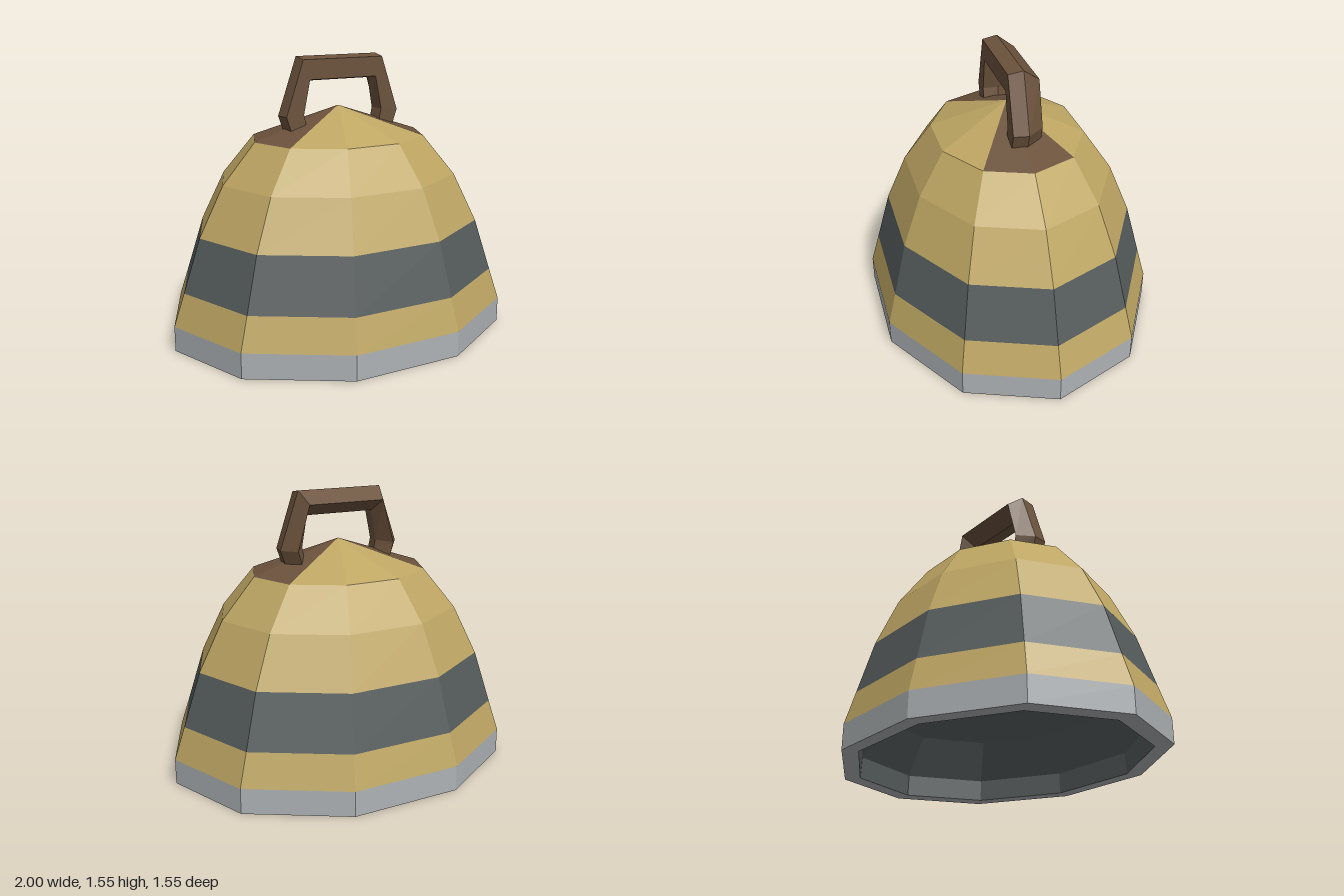
import * as THREE from 'three';

const SIDES = 10, DEPTH = 0.817;

function material(name, color, side = THREE.FrontSide) {
  return new THREE.MeshStandardMaterial({ name, color, side, flatShading: true });
}

export function createModel() {
  const brass = material('brass', 0xbea663);
  const steel = material('steel', 0xaeb2b5);
  const slate = material('slate', 0x565c5c, THREE.DoubleSide);
  const brown = material('brown', 0x6b523c);

  const model = new THREE.Group();
  model.name = 'bell';

  const add = (name, geometry, mat, parent = model) => {
    const mesh = new THREE.Mesh(geometry, mat);
    mesh.name = name;
    parent.add(mesh);
  };

  // One faceted oval ring between two [radius, y] profile points
  const ring = ([r0, y0], [r1, y1], sides = SIDES, start = Math.PI / 2) => {
    const sweep = (sides / SIDES) * Math.PI * 2;
    return new THREE.CylinderGeometry(r1, r0, y1 - y0, sides, 1, true, start, sweep)
      .translate(0, (y0 + y1) / 2, 0)
      .scale(1, 1, DEPTH);
  };

  // Outer shell, from the rim to the shoulder
  const outer = [[1, 0], [1, 0.14], [0.938, 0.32], [0.839, 0.614], [0.7, 0.885], [0.51, 1.105], [0, 1.275]];
  const bands = [['rim', steel], ['lowerBody', brass], ['darkBand', slate], ['upperBody', brass], ['shoulder', brass]];
  bands.forEach(([name, mat], i) => add(name, ring(outer[i], outer[i + 1]), mat));

  // Crown: brass at front and back, brown patches under the handle legs
  const step = (Math.PI * 2) / SIDES;
  for (const turn of [0, Math.PI]) {
    const side = turn ? 'right' : 'left';
    const end = turn ? 'back' : 'front';
    add(side + 'CrownPatch', ring(outer[5], outer[6], 2, Math.PI / 2 - step + turn), brown);
    add(end + 'Crown', ring(outer[5], outer[6], 3, -1.5 * step + turn), brass);
  }

  // Bottom lip and the much shallower domed hollow inside
  add('lip', new THREE.RingGeometry(0.895, 1, SIDES).rotateX(Math.PI / 2).scale(1, 1, DEPTH), steel);
  const inner = [[0.895, 0], [0.89, 0.12], [0.748, 0.33], [0.623, 0.46], [0.454, 0.56], [0, 0.64]];
  const inside = new THREE.Group();
  inside.name = 'inside';
  model.add(inside);
  for (let i = 0; i < inner.length - 1; i++) add('innerRing' + (i + 1), ring(inner[i], inner[i + 1]), slate, inside);

  add('handle', handleGeometry(), brown);
  return model;
}

// Five-sided bar swept along an arch; each station is [midX, midY, halfX, halfY]
function handleGeometry() {
  const half = [[0.225, 1.486, 0.025, 0.068], [0.295, 1.241, 0.065, -0.005], [0.275, 1.172, 0.055, -0.022]];
  const mirrored = half.map(([x, y, hx, hy]) => [-x, y, -hx, hy]).reverse();
  const stations = [...mirrored, ...half];
  // Cross-section as [outward share, z]
  const section = [[0, -0.11], [1, -0.018], [0.8, 0.065], [-0.8, 0.065], [-1, -0.018]];
  const n = section.length;
  const positions = [], index = [];
  for (const [x, y, hx, hy] of stations) {
    for (const [s, z] of section) positions.push(x + hx * s, y + hy * s, z);
  }
  const last = (stations.length - 1) * n;
  for (let i = 0; i < last; i += n) {
    for (let j = 0; j < n; j++) {
      const k = (j + 1) % n;
      index.push(i + j, i + k, i + n + k, i + j, i + n + k, i + n + j);
    }
  }
  // End caps
  for (let j = 1; j < n - 1; j++) {
    index.push(0, j + 1, j, last, last + j, last + j + 1);
  }
  const geometry = new THREE.BufferGeometry();
  geometry.setAttribute('position', new THREE.Float32BufferAttribute(positions, 3));
  geometry.setIndex(index);
  const flat = geometry.toNonIndexed();
  flat.computeVertexNormals();
  return flat;
}
